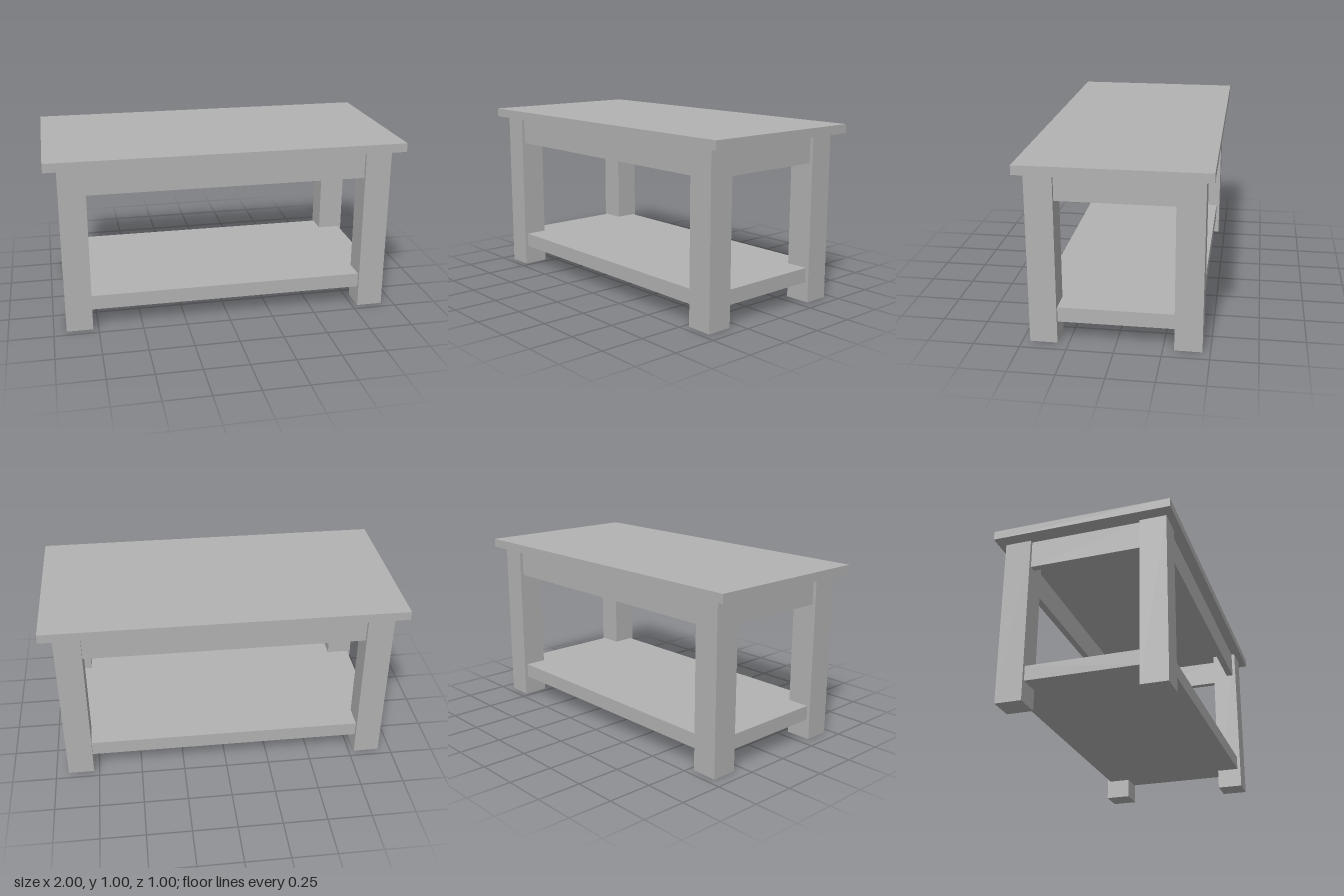
import * as THREE from 'three';

const LEG = { x: 0.855, z: 0.385, size: 0.148, height: 0.95 };
const EDGE = { x: 0.91, z: 0.44 };   // outer faces of aprons and shelf, set back from the legs
const INNER = { x: 0.781, z: 0.311 }; // inner faces of the legs
const APRON = { bottom: 0.792, top: 0.95, thick: 0.04 };

export function createModel() {
  const table = new THREE.Group();
  table.name = 'coffeeTable';
  const grey = new THREE.MeshStandardMaterial({ color: 0xb2b2b2 });
  grey.name = 'grey';

  const add = (name, geometry, x, y, z) => {
    const mesh = new THREE.Mesh(geometry, grey);
    mesh.name = name;
    mesh.position.set(x, y, z);
    table.add(mesh);
  };
  const box = (name, w, h, d, x, y, z) => add(name, new THREE.BoxGeometry(w, h, d), x, y, z);

  // Table top
  box('tableTop', 2, 0.05, 1, 0, 0.975, 0);

  // Four square legs
  for (const [sx, side] of [[1, 'Left'], [-1, 'Right']]) {
    for (const [sz, end] of [[1, 'front'], [-1, 'back']]) {
      box(`${end}${side}Leg`, LEG.size, LEG.height, LEG.size, sx * LEG.x, LEG.height / 2, sz * LEG.z);
    }
  }

  // Aprons between the legs
  const h = APRON.top - APRON.bottom;
  const y = (APRON.top + APRON.bottom) / 2;
  for (const [s, end, side] of [[1, 'front', 'left'], [-1, 'back', 'right']]) {
    box(`${end}Apron`, INNER.x * 2, h, APRON.thick, 0, y, s * (EDGE.z - APRON.thick / 2));
    box(`${side}Apron`, APRON.thick, h, INNER.z * 2, s * (EDGE.x - APRON.thick / 2), y, 0);
  }

  // Lower shelf with its corners notched around the legs
  const { x: ex, z: ez } = EDGE;
  const { x: ix, z: iz } = INNER;
  const outline = new THREE.Shape([
    [ix, -ez], [ix, -iz], [ex, -iz], [ex, iz], [ix, iz], [ix, ez],
    [-ix, ez], [-ix, iz], [-ex, iz], [-ex, -iz], [-ix, -iz], [-ix, -ez],
  ].map(([px, pz]) => new THREE.Vector2(px, pz)));
  const shelf = new THREE.ExtrudeGeometry(outline, { depth: 0.083, bevelEnabled: false });
  shelf.rotateX(-Math.PI / 2);
  add('shelf', shelf, 0, 0.115, 0);

  return table;
}
